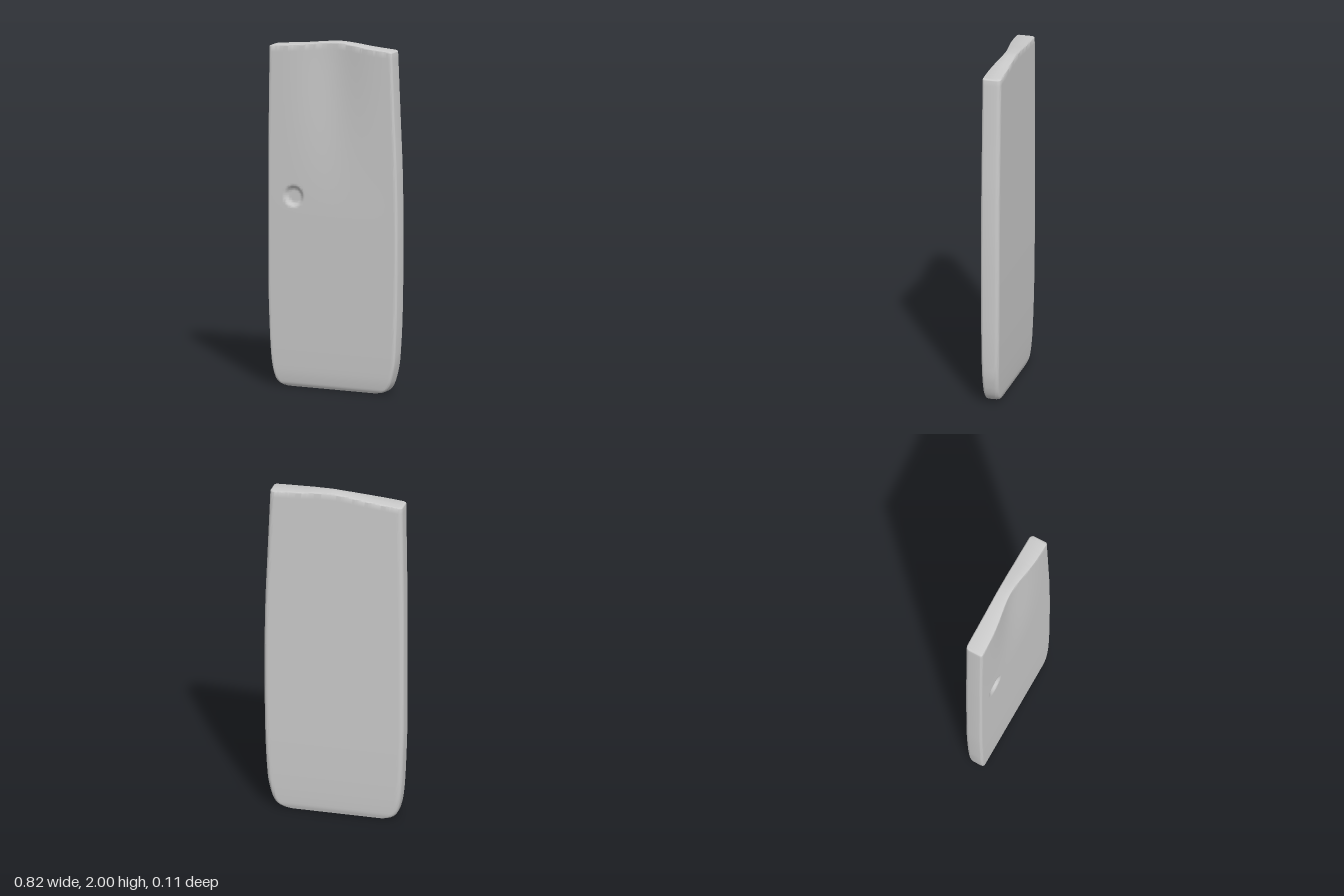
import * as THREE from 'three';
import { mergeVertices, toCreasedNormals } from 'three/addons/utils/BufferGeometryUtils.js';

// Smooth monotone curve through [key, value] points
function curve(p) {
  const d = p.slice(1).map((q, i) => (q[1] - p[i][1]) / (q[0] - p[i][0]));
  const m = p.map((_, i) => {
    if (i === 0) return d[0];
    if (i === p.length - 1) return d[i - 1];
    return d[i - 1] * d[i] <= 0 ? 0 : (2 * d[i - 1] * d[i]) / (d[i - 1] + d[i]);
  });
  return (k) => {
    const x = THREE.MathUtils.clamp(k, p[0][0], p[p.length - 1][0]);
    let i = 0;
    while (i < p.length - 2 && x > p[i + 1][0]) i++;
    const h = p[i + 1][0] - p[i][0], t = (x - p[i][0]) / h, s = 1 - t;
    return p[i][1] * (1 + 2 * t) * s * s + m[i] * h * t * s * s
      + p[i + 1][1] * t * t * (3 - 2 * t) - m[i + 1] * h * t * t * s;
  };
}

// Outline and thickness by height; top edge by x
const leftEdge = curve([[0, -0.3], [0.006, -0.325], [0.02, -0.35], [0.05, -0.37], [0.15, -0.391],
  [0.3, -0.401], [0.6, -0.41], [1.2, -0.411], [2, -0.403]]);
const rightEdge = curve([[0, 0.27], [0.006, 0.305], [0.03, 0.345], [0.08, 0.37], [0.2, 0.394],
  [0.5, 0.407], [0.9, 0.411], [1.25, 0.406], [1.6, 0.392], [2, 0.375]]);
const frontZ = curve([[0, 0.032], [0.02, 0.042], [0.1, 0.05], [0.35, 0.053], [2, 0.053]]);
const backZ = curve([[0, -0.03], [0.03, -0.038], [0.2, -0.046], [0.45, -0.051], [0.9, -0.054], [2, -0.055]]);
const topEdge = curve([[-0.405, 1.955], [-0.2, 1.976], [-0.06, 1.994], [0.02, 2], [0.1, 1.996],
  [0.22, 1.985], [0.375, 1.976]]);

// Shallow channel near the top plus a round thumb dimple
function hollow(x, y) {
  const channel = 0.033 * Math.exp(-((x / 0.18) ** 2)) * THREE.MathUtils.smoothstep(y, 1.0, 1.95);
  const r = Math.hypot(x + 0.246, y - 1.098);
  return channel + 0.02 * (1 - THREE.MathUtils.smoothstep(r, 0.035, 0.068));
}

// One cross-section: front, right side, back, left side
function section(h, collapse) {
  const round = 0.008, over = Math.max(0, h - (2 - round));
  const inset = round - Math.sqrt(Math.max(0, round * round - over * over));
  const xl = leftEdge(h) + inset, xr = rightEdge(h) - inset;
  const zf = frontZ(h) - inset * 0.5, zb = backZ(h) + inset;
  const rf = 0.014, rb = 0.025, N = 100, C = 5, loop = [];
  const corner = (cx, cz, r, start) => {
    for (let i = 1; i < C; i++) {
      const a = start - (i / C) * Math.PI / 2;
      loop.push([cx + r * Math.cos(a), cz + r * Math.sin(a), false]);
    }
  };
  const line = (x0, x1, z, front) => {
    for (let i = 0; i <= N; i++) loop.push([x0 + (x1 - x0) * i / N, z, front]);
  };
  line(xl + rf, xr - rf, zf, true);
  corner(xr - rf, zf - rf, rf, Math.PI / 2);
  loop.push([xr, zf - rf, false], [xr, zb + rb, false]);
  corner(xr - rb, zb + rb, rb, 0);
  line(xr - rb, xl + rb, zb, false);
  corner(xl + rb, zb + rb, rb, -Math.PI / 2);
  loop.push([xl, zb + rb, false], [xl, zf - rf, false]);
  corner(xl + rf, zf - rf, rf, Math.PI);
  return loop.map(([x, z, front]) => {
    const y = h + (topEdge(x) - 2) * (h / 2) ** 4;
    return [x, y, collapse ? -0.01 : z - (front ? hollow(x, y) : 0)];
  });
}

// Row heights, closest together at the rims and around the dimple
function rowHeights() {
  const rows = [0, 0.002, 0.005, 0.01, 0.017, 0.026, 0.038, 0.055, 0.075];
  const span = (a, b, n) => { for (let i = 0; i < n; i++) rows.push(a + (b - a) * i / n); };
  span(0.1, 1.0, 24);
  span(1.0, 1.2, 34);
  span(1.2, 1.992, 24);
  rows.push(1.992, 1.995, 1.9975, 1.9993, 2);
  return rows;
}

function slabGeometry() {
  const loops = rowHeights().map((h) => section(h, false));
  loops.unshift(section(0, true));
  loops.push(section(2, true));
  const n = loops[0].length, index = [];
  for (let i = 0; i < loops.length - 1; i++) {
    for (let j = 0; j < n; j++) {
      const k = (j + 1) % n;
      const a = i * n + j, b = i * n + k, c = (i + 1) * n + k, d = (i + 1) * n + j;
      index.push(a, b, c, a, c, d);
    }
  }
  const geometry = new THREE.BufferGeometry();
  geometry.setAttribute('position', new THREE.Float32BufferAttribute(loops.flat(2), 3));
  geometry.setIndex(index);
  return toCreasedNormals(mergeVertices(geometry, 1e-5), Math.PI / 4);
}

export function createModel() {
  const group = new THREE.Group();
  group.name = 'coverPanel';
  const panel = new THREE.Mesh(slabGeometry(), new THREE.MeshStandardMaterial({ color: 0xcccccc }));
  panel.name = 'panel';
  group.add(panel);
  return group;
}
